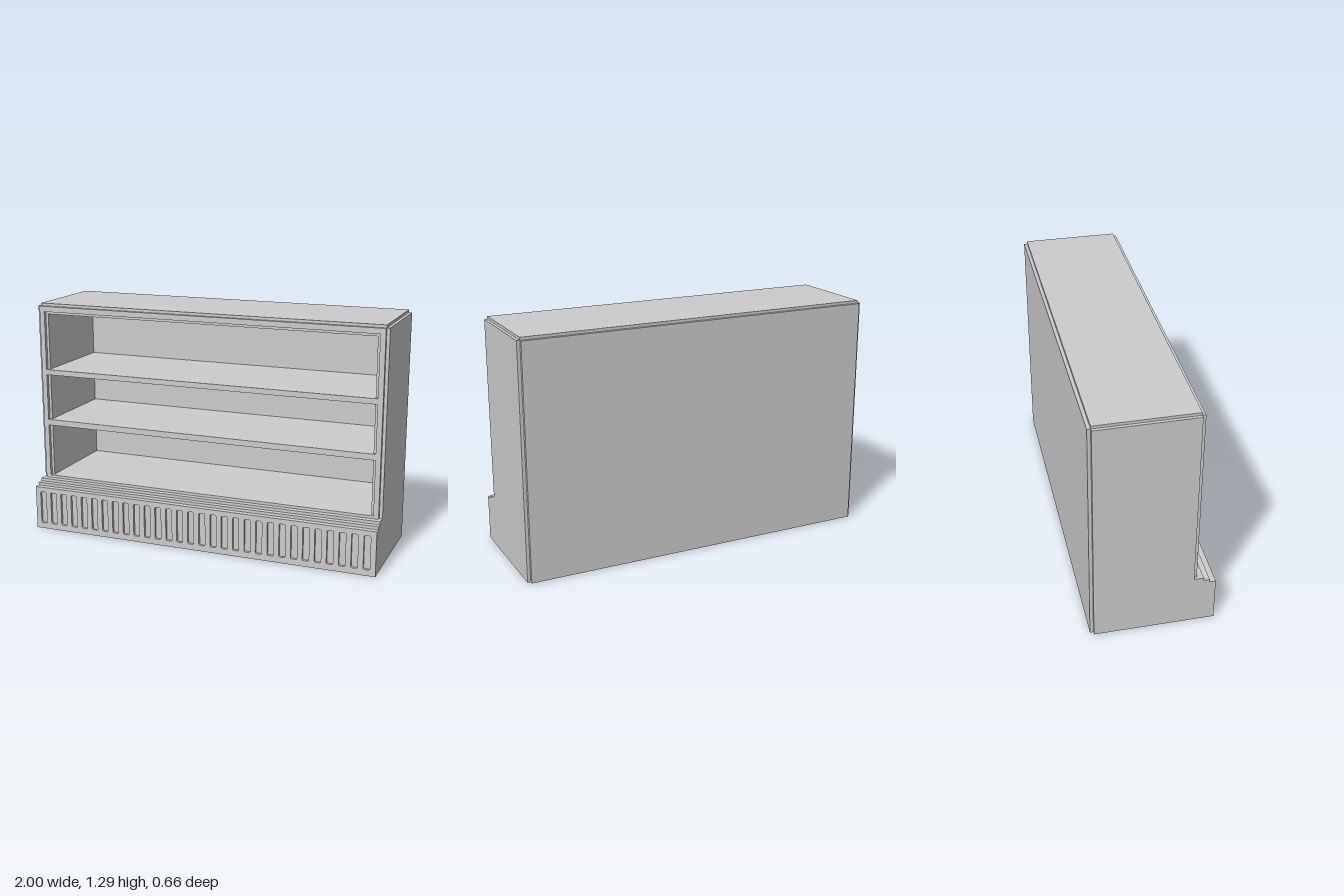
import * as THREE from 'three';

const mat = new THREE.MeshStandardMaterial({ color: 0xcccccc, flatShading: true });

// Rectangle path, with optional small chamfered-round corners
function rect(P, x0, y0, x1, y1, r = 0) {
  const p = new P();
  p.moveTo(x0 + r, y0);
  p.lineTo(x1 - r, y0);
  if (r) p.quadraticCurveTo(x1, y0, x1, y0 + r);
  p.lineTo(x1, y1 - r);
  if (r) p.quadraticCurveTo(x1, y1, x1 - r, y1);
  p.lineTo(x0 + r, y1);
  if (r) p.quadraticCurveTo(x0, y1, x0, y1 - r);
  p.lineTo(x0, y0 + r);
  if (r) p.quadraticCurveTo(x0, y0, x0 + r, y0);
  return p;
}

export function createModel() {
  const group = new THREE.Group();

  const add = (name, geometry) => {
    const mesh = new THREE.Mesh(geometry, mat);
    mesh.name = name;
    group.add(mesh);
  };
  // Box between two x-symmetric limits
  const slab = (name, halfX, y0, y1, z0, z1) =>
    add(name, new THREE.BoxGeometry(2 * halfX, y1 - y0, z1 - z0).translate(0, (y0 + y1) / 2, (z0 + z1) / 2));
  // Upright panel with holes, extruded along z
  const panel = (name, halfX, y0, y1, z0, z1, holes) => {
    const shape = rect(THREE.Shape, -halfX, y0, halfX, y1);
    shape.holes = holes;
    add(name, new THREE.ExtrudeGeometry(shape, { depth: z1 - z0, bevelEnabled: false, curveSegments: 4 }).translate(0, 0, z0));
  };

  const back = -0.31, face = 0.212, front = 0.23;

  // Hollow carcass; the thinner slabs around it leave rebated edges
  panel('carcass', 1, 0, 1.28, back, face, [rect(THREE.Path, -0.94, 0.295, 0.94, 1.235)]);
  slab('topPanel', 0.983, 1.28, 1.295, back, face);
  slab('backPanel', 0.983, 0, 1.28, -0.328, back);

  // Front frame, wider opening than the carcass, with the shelf edges flush
  const openings = [[0.295, 0.595], [0.628, 0.89], [0.92, 1.25]];
  panel('frontFrame', 0.983, 0.28, 1.28, face, front,
    openings.map(([y0, y1]) => rect(THREE.Path, -0.955, y0, 0.955, y1)));

  // Shelves
  for (let i = 0; i < 2; i++) slab('shelf', 0.94, openings[i][1], openings[i + 1][0], back, face);

  // Stepped plinth
  slab('plinthCore', 1, 0, 0.248, face, 0.313);
  slab('plinthStepLower', 1, 0.248, 0.264, face, 0.295);
  slab('plinthStepUpper', 1, 0.264, 0.28, face, 0.263);

  // Plinth front with a row of recessed slots
  const slots = [];
  const count = 30;
  for (let i = 0; i < count; i++) {
    const x = -0.952 + (1.904 * i) / (count - 1);
    slots.push(rect(THREE.Path, x - 0.018, 0.033, x + 0.018, 0.22, 0.009));
  }
  panel('slottedPlinthFront', 1, 0, 0.248, 0.313, 0.328, slots);

  return group;
}
